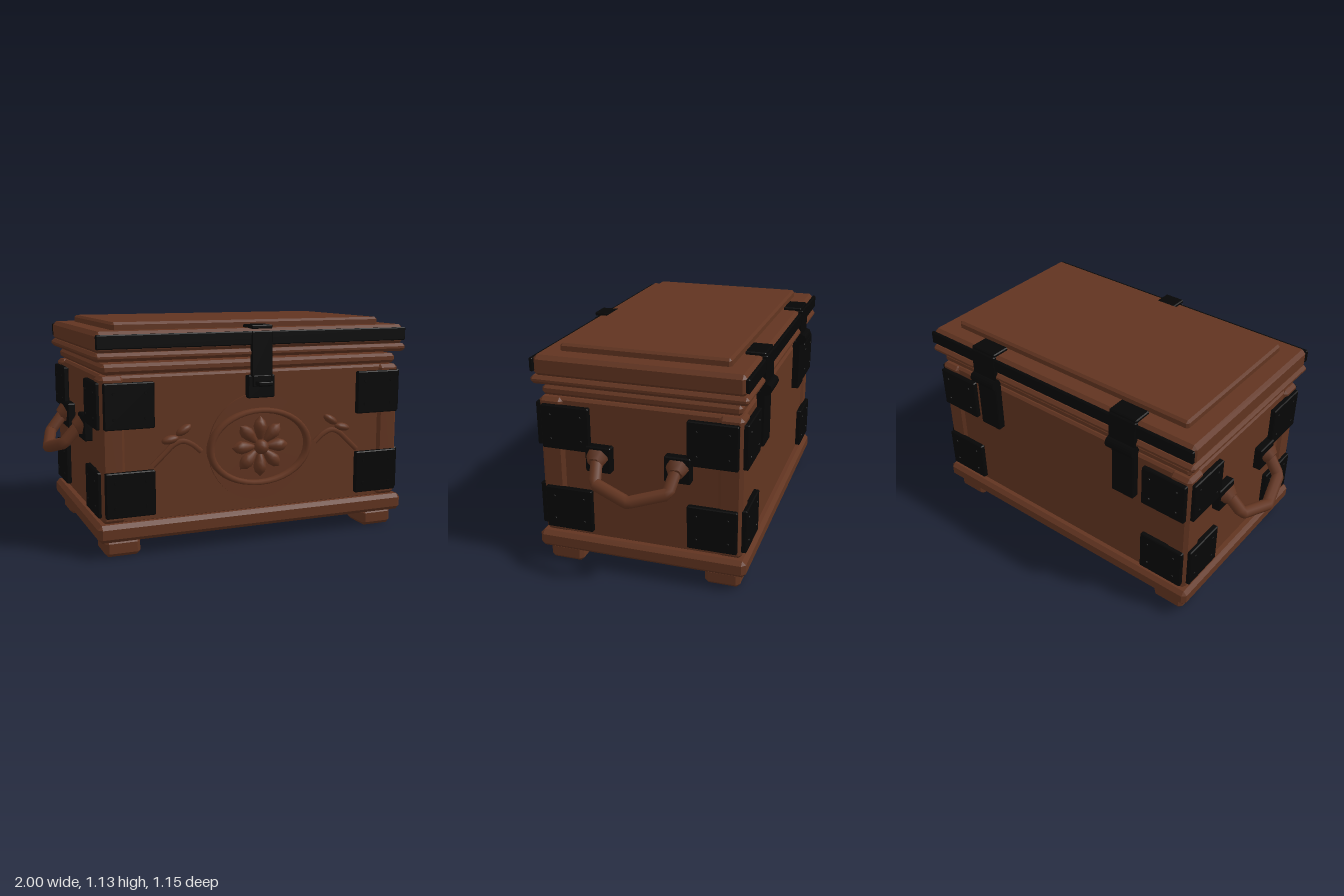
import * as THREE from 'three';
import { ConvexGeometry } from 'three/addons/geometries/ConvexGeometry.js';

export function createModel() {
  const chest = new THREE.Group();
  chest.name = 'chest';
  const body = new THREE.Group();
  body.position.z = -0.01;
  chest.add(body);

  const wood = new THREE.MeshStandardMaterial({ color: 0x613420 });
  wood.name = 'brown wood';
  const iron = new THREE.MeshStandardMaterial({ color: 0x060606 });
  iron.name = 'black iron';

  const add = (name, geometry, material, x = 0, y = 0, z = 0) => {
    const mesh = new THREE.Mesh(geometry, material);
    mesh.name = name;
    mesh.position.set(x, y, z);
    body.add(mesh);
    return mesh;
  };

  // Box with chamfered edges, given by its limits
  const block = (name, material, [x0, x1], [y0, y1], [z0, z1], c = 0.015) => {
    const a = (x1 - x0) / 2, b = (y1 - y0) / 2, d = (z1 - z0) / 2;
    const points = [];
    for (const i of [-1, 1]) for (const j of [-1, 1]) for (const k of [-1, 1]) {
      points.push(
        new THREE.Vector3(i * a, j * (b - c), k * (d - c)),
        new THREE.Vector3(i * (a - c), j * b, k * (d - c)),
        new THREE.Vector3(i * (a - c), j * (b - c), k * d));
    }
    return add(name, new ConvexGeometry(points), material, (x0 + x1) / 2, (y0 + y1) / 2, (z0 + z1) / 2);
  };
  const span = (s, a, b) => (s > 0 ? [a, b] : [-b, -a]);
  const both = (a) => [-a, a];

  // Case, from the base upwards
  block('baseMoulding', wood, both(0.842), [0.082, 0.17], both(0.533), 0.02);
  block('casePanels', wood, both(0.798), [0.16, 0.88], both(0.491), 0.012);
  block('caseRim', wood, both(0.802), [0.886, 0.936], both(0.492));
  block('caseCore', wood, both(0.77), [0.86, 0.91], both(0.46), 0.005);

  // Lid
  block('lidMoulding', wood, both(0.842), [0.95, 0.991], both(0.531));
  block('lidSlab', wood, both(0.834), [0.985, 1.09], both(0.517), 0.02);
  block('lidPanel', wood, both(0.73), [1.075, 1.127], both(0.42), 0.012);

  // Rivet heads on a plate; s is the outward direction along the axis
  const rivetGeometry = new THREE.CylinderGeometry(0.007, 0.009, 0.006, 8);
  const rivet = (axis, s, x, y, z) => {
    const head = add('rivet', rivetGeometry, iron, x, y, z);
    if (axis === 'x') head.rotation.z = -s * Math.PI / 2;
    else head.rotation.x = s * Math.PI / 2;
  };

  for (const sx of [-1, 1]) for (const sz of [-1, 1]) {
    block('foot', wood, span(sx, 0.625, 0.802), [0, 0.086], span(sz, 0.32, 0.497), 0.018);
    block('cornerPost', wood, span(sx, 0.695, 0.815), [0.168, 0.88], span(sz, 0.385, 0.506), 0.018);
    // Corner plates, on the long side and the short side
    for (const [y0, y1] of [[0.2, 0.422], [0.628, 0.85]]) {
      block('longSidePlate', iron, span(sx, 0.555, 0.802), [y0, y1], span(sz, 0.498, 0.527), 0.005);
      block('shortSidePlate', iron, span(sx, 0.805, 0.834), [y0, y1], span(sz, 0.242, 0.487), 0.005);
      for (const y of [y0 + 0.05, y1 - 0.05]) for (const t of [0.045, 0.2]) {
        rivet('z', sz, sx * (0.555 + t), y, sz * 0.528);
        rivet('x', sx, sx * 0.835, y, sz * (0.242 + t));
      }
    }
  }

  // Iron bands along the front and back of the lid
  for (const sz of [-1, 1]) {
    block('lidBand', iron, both(0.834), [1.008, 1.076], span(sz, 0.512, 0.532), 0.005);
  }

  // Carrying handles
  for (const sx of [-1, 1]) {
    const path = new THREE.CurvePath();
    const points = [[0.84, 0.62, 0.2], [0.925, 0.518, 0.18], [0.97, 0.47, 0],
      [0.925, 0.518, -0.18], [0.84, 0.62, -0.2]]
      .map(([x, y, z]) => new THREE.Vector3(sx * x, y, z));
    for (let i = 0; i < 4; i++) path.add(new THREE.LineCurve3(points[i], points[i + 1]));
    add('handle', new THREE.TubeGeometry(path, 28, 0.031, 8), wood);
    for (const sz of [-1, 1]) {
      block('handlePlate', iron, span(sx, 0.79, 0.84), [0.534, 0.666], span(sz, 0.133, 0.262), 0.006);
      const mount = add('handleMount', new THREE.CylinderGeometry(0.036, 0.06, 0.04, 6), wood,
        sx * 0.853, 0.604, sz * 0.2);
      mount.rotation.z = -sx * 2;
    }
  }

  // Front hasp, lock plate and staple
  block('haspTop', iron, both(0.057), [1.087, 1.106], [0.42, 0.533], 0.005);
  block('haspStrap', iron, both(0.057), [0.85, 1.076], [0.513, 0.537], 0.005);
  block('haspEnd', iron, both(0.05), [0.8, 0.858], [0.51, 0.54], 0.004);
  block('lockPlate', iron, both(0.073), [0.744, 0.858], [0.49, 0.53], 0.005);
  for (const sx of [-1, 1]) {
    block('stapleArm', iron, span(sx, 0.022, 0.04), [0.809, 0.829], [0.52, 0.585], 0.004);
  }
  block('stapleBar', iron, both(0.04), [0.809, 0.829], [0.567, 0.585], 0.004);

  // Back hinges
  for (const sx of [-1, 1]) {
    block('hingeTop', iron, span(sx, 0.367, 0.525), [1.087, 1.106], [-0.53, -0.43], 0.005);
    block('hingeUpperStrap', iron, span(sx, 0.367, 0.525), [0.94, 1.092], [-0.538, -0.512], 0.005);
    block('hingeLowerStrap', iron, span(sx, 0.381, 0.511), [0.628, 0.915], [-0.532, -0.487], 0.005);
    const knuckle = add('hingeKnuckle', new THREE.CylinderGeometry(0.03, 0.03, 0.158, 8), iron,
      sx * 0.446, 0.926, -0.535);
    knuckle.rotation.z = Math.PI / 2;
  }

  // Carved medallion: disc, oval ring and eight-petalled flower
  const disc = add('medallionDisc', new THREE.CylinderGeometry(0.274, 0.274, 0.012, 40), wood, 0, 0.493, 0.495);
  disc.rotation.x = Math.PI / 2;
  const ring = add('ovalRing', new THREE.TorusGeometry(0.268, 0.02, 8, 40), wood, 0, 0.493, 0.513);
  ring.scale.set(1, 0.69, 1.4);
  const bead = new THREE.SphereGeometry(1, 12, 8);
  add('flowerCentre', bead, wood, 0, 0.495, 0.53).scale.set(0.038, 0.038, 0.038);
  const petalGeometry = new THREE.LatheGeometry(
    [[0, 0.02], [0.016, 0.045], [0.029, 0.08], [0.034, 0.105], [0.026, 0.13], [0, 0.156]]
      .map(([r, y]) => new THREE.Vector2(r, y)), 10);
  for (let i = 0; i < 8; i++) {
    const petal = add('petal', petalGeometry, wood, 0, 0.495, 0.515);
    petal.rotation.z = i * Math.PI / 4;
  }

  // Carved vines with leaves on both sides of the medallion
  for (const sx of [-1, 1]) {
    const vine = new THREE.CatmullRomCurve3(
      [[0.315, 0.492], [0.36, 0.53], [0.41, 0.55], [0.455, 0.536], [0.505, 0.492], [0.565, 0.437]]
        .map(([x, y]) => new THREE.Vector3(sx * x, y, 0.505)));
    add('vine', new THREE.TubeGeometry(vine, 20, 0.014, 6), wood);
    for (const [x, y, a] of [[0.405, 0.605, -0.55], [0.475, 0.562, -0.2]]) {
      const leaf = add('leaf', bead, wood, sx * x, y, 0.508);
      leaf.scale.set(0.045, 0.021, 0.025);
      leaf.rotation.z = sx * a;
    }
  }

  return chest;
}
